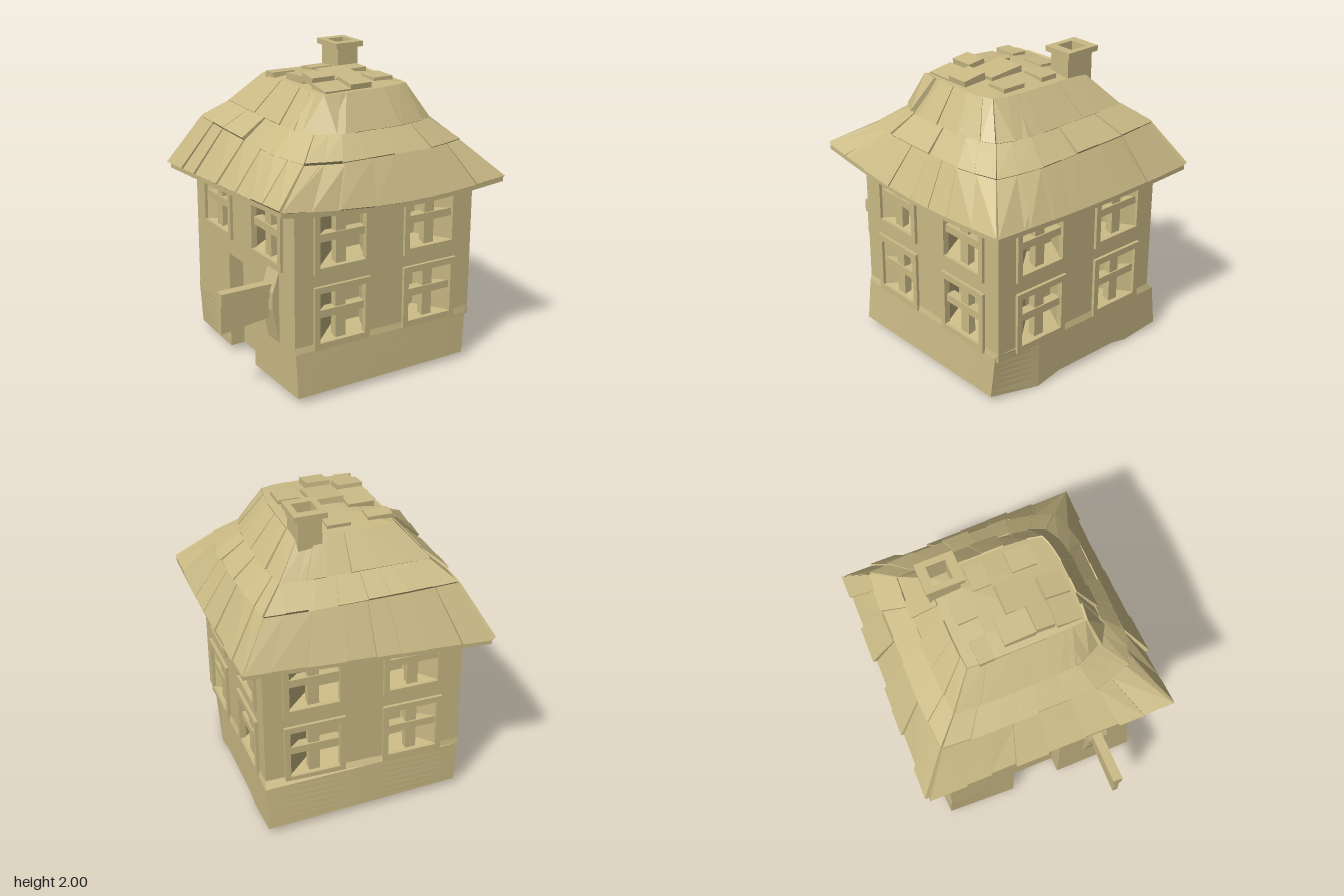
import * as THREE from 'three';
import { ConvexGeometry } from 'three/addons/geometries/ConvexGeometry.js';

const mat = new THREE.MeshStandardMaterial({ color: 0xcbbb86, flatShading: true });
const V = (x, y, z) => new THREE.Vector3(x, y, z);
const poly = (T, pts) => new T(pts.map(p => new THREE.Vector2(...p)));
const rect = (T, x0, x1, y0, y1) => poly(T, [[x0, y0], [x1, y0], [x1, y1], [x0, y1]]);
const extrude = (shape, depth, steps = 1) => new THREE.ExtrudeGeometry(shape, { depth, steps, bevelEnabled: false });

let seed = 11;
const rnd = () => (seed = (seed * 16807) % 2147483647) / 2147483647;

function group(name) {
  const g = new THREE.Group();
  g.name = name;
  return g;
}

function add(parent, name, geo) {
  const m = new THREE.Mesh(geo, mat);
  m.name = name;
  parent.add(m);
  return m;
}

// box given by its lower and upper limits
function box(parent, name, x0, x1, y0, y1, z0, z1) {
  const m = add(parent, name, new THREE.BoxGeometry(x1 - x0, y1 - y0, z1 - z0));
  m.position.set((x0 + x1) / 2, (y0 + y1) / 2, (z0 + z1) / 2);
  return m;
}

// Each wall: turn about y, distance out, extent along the wall, window centres and rows, lower notch
const LOW = 0.525, HIGH = 1.015, OPEN = 0.163, THICK = 0.15;
const walls = [
  { name: 'frontWall', rot: 0, d: 0.65, u: [-0.55, 0.755], win: [-0.22, 0.43], rows: [LOW, HIGH], notch: [] },
  { name: 'rightWall', rot: Math.PI / 2, d: 0.755, u: [-0.65, 0.655], win: [-0.315, 0.335], rows: [LOW, HIGH], notch: [] },
  { name: 'backWall', rot: Math.PI, d: 0.655, u: [-0.755, 0.55], win: [-0.43, 0.22], rows: [LOW, HIGH], notch: [] },
  { name: 'leftWall', rot: -Math.PI / 2, d: 0.55, u: [-0.655, 0.65], win: [-0.335, 0.315], rows: [HIGH],
    notch: [[-0.2, 0.3], [-0.2, 0.7], [0.14, 0.7], [0.14, 0.3]] },
];

function makeWall(w) {
  const g = group(w.name);
  g.rotation.y = w.rot;
  const [a, b] = w.u, mid = (a + b) / 2;
  const shape = poly(THREE.Shape, [[a, 0.3], ...w.notch, [b, 0.3], [b, 1.25], [a, 1.25]]);
  for (const c of w.win) for (const y of w.rows)
    shape.holes.push(rect(THREE.Path, c - OPEN, c + OPEN, y - OPEN, y + OPEN));
  const geo = extrude(shape, THICK);
  const p = geo.attributes.position;
  // splay the window recesses towards the middle of the wall
  for (let i = 0; i < p.count; i++) {
    const y = p.getY(i);
    if (p.getZ(i) > 0.01 || y < w.rows[0] - 0.2 || y > 1.2) continue;
    const row = y > 0.77 ? HIGH : LOW;
    p.setXY(i, mid + (p.getX(i) - mid) * 0.62, row + (y - row) * 0.8);
  }
  geo.computeVertexNormals();
  add(g, 'wallPanel', geo).position.z = w.d - THICK;

  // window frames and glazing bars
  for (const c of w.win) for (const y of w.rows) {
    const f = rect(THREE.Shape, c - 0.2, c + 0.2, y - 0.205, y + 0.205);
    f.holes.push(rect(THREE.Path, c - OPEN, c + OPEN, y - OPEN, y + OPEN));
    add(g, 'windowFrame', extrude(f, 0.04)).position.z = w.d - 0.02;
    const z = w.d - 0.06;
    box(g, 'uprightBar', c - 0.036, c + 0.036, y - 0.17, y + 0.17, z, z + 0.05);
    box(g, 'crossBar', c - 0.17, c + 0.17, y - 0.005, y + 0.045, z - 0.005, z + 0.06);
  }
  return g;
}

// Flared foot of the house: plan outline with the doorway cut in, raised in steps
function makeFoot(parent) {
  const plan = [[-0.55, 0.65], [0, 0.65], [0.45, 0.65], [0.755, 0.65], [0.755, 0.33], [0.755, 0.15], [0.755, -0.33],
    [0.755, -0.45], [0.755, -0.655], [0.1, -0.655], [-0.55, -0.655], [-0.55, -0.2], [-0.44, -0.2], [-0.44, 0.14], [-0.55, 0.14]];
  const geo = extrude(poly(THREE.Shape, plan.map(([x, z]) => [x, -z])), 0.32, 8);
  geo.rotateX(-Math.PI / 2).translate(0, 0.04, 0);
  const p = geo.attributes.position;
  for (let i = 0; i < p.count; i++) {
    const x = p.getX(i), y = p.getY(i), z = p.getZ(i);
    if (y > 0.34) continue;
    const drop = (0.32 - y) / 0.28;
    const east = (x + 0.55) / 1.305;
    // the back swells towards the right, the front towards the left, and the front right corner draws in
    if (z > 0.6) p.setZ(i, z + (0.012 + 0.028 * drop) * (1 - 0.5 * east));
    if (z < -0.6) p.setZ(i, z - (0.04 + 0.035 * drop) * (0.15 + 0.85 * east));
    if (x > 0.7) p.setX(i, x + (z > 0.6 ? -0.025 - 0.025 * drop : 0.012));
    if (x < -0.5 && z < -0.6) p.setX(i, x + 0.02 * drop);
    if (y < 0.05 && x > 0.7) {
      if (Math.abs(z - 0.33) < 0.01) p.setY(i, 0);
      if (Math.abs(z + 0.45) < 0.01) p.setY(i, 0.015);
    }
  }
  geo.computeVertexNormals();
  add(parent, 'foot', geo);
}

// Roof rings: corners front left, front right, back right, back left, as seen from the front
const ring = (yf, yb, x0, x1, z0, z1) => [V(x0, yf, z1), V(x1, yf, z1), V(x1, yb, z0), V(x0, yb, z0)];
const rings = [
  [V(-0.72, 1.3, 0.8), V(0.9, 1.25, 0.775), V(0.9, 1.24, -0.775), V(-0.665, 1.17, -0.815)],
  ring(1.48, 1.51, -0.51, 0.74, -0.655, 0.66),
  ring(1.615, 1.63, -0.37, 0.59, -0.51, 0.54),
  ring(1.835, 1.825, -0.21, 0.43, -0.36, 0.42),
];
const sag = [0.06, 0.02, 0, 0];
// how far each corner of a ring is cut back, making the front hips blunt and the rear ones sharp
const cut = [[0, 0, 0, 0], [0.11, 0.1, 0.03, 0.02], [0.16, 0.14, 0.02, 0.01], [0.04, 0.09, 0.05, 0.03]];

function roofPoint(r, side, t) {
  const next = (side + 1) % 4;
  const p = rings[r][side].clone().lerp(rings[r][next], t);
  if (r === 0) p.y -= sag[side] * Math.sin(Math.PI * t);
  const k = 1 - cut[r][t < 0.5 ? side : next] * Math.max(0, 1 - Math.min(t, 1 - t) / 0.24);
  return p.set(0.1 + (p.x - 0.1) * k, p.y, p.z * k);
}

function makeRoof() {
  const g = group('roof');
  const N = 8, M = 4 * N;
  const loop = (r, f) => Array.from({ length: M }, (_, j) => f(roofPoint(r, Math.floor(j / N), (j % N) / N)));
  const same = p => p;
  const loops = [
    loop(0, p => V(0.1 + (p.x - 0.1) * 0.76, 1.2, p.z * 0.77)),
    loop(0, p => V(p.x, p.y - 0.03, p.z)),
    loop(0, same), loop(1, same), loop(2, same), loop(3, same),
    loop(3, p => V(0.1 + (p.x - 0.1) * 0.5, 1.85, p.z * 0.5)),
    loop(3, () => V(0.1, 1.86, 0)),
  ];
  const idx = [];
  for (let r = 0; r < loops.length - 1; r++) for (let j = 0; j < M; j++) {
    const k = (j + 1) % M, a = r * M + j, b = r * M + k, c = b + M, d = a + M;
    idx.push(a, b, c, a, c, d);
  }
  const geo = new THREE.BufferGeometry().setFromPoints(loops.flat());
  geo.setIndex(idx);
  geo.computeVertexNormals();
  add(g, 'roofShell', geo);

  // irregular shingles, each a tapering slab thicker at its lower edge
  [8, 8, 6].forEach((n, r) => {
    for (let s = 0; s < 4; s++) for (let i = 0; i < n; i++) {
      const wob = k => (k === 0 || k === n ? k / n : (k + 0.2 * Math.sin(k * 5 + s * 3 + r)) / n);
      const th = 0.004 + 0.026 * rnd();
      if (rnd() < 0.2) continue;
      const t0 = wob(i), t1 = wob(i + 1);
      const q = [roofPoint(r, s, t0), roofPoint(r, s, t1), roofPoint(r + 1, s, t1), roofPoint(r + 1, s, t0)];
      const nrm = q[1].clone().sub(q[0]).cross(q[3].clone().sub(q[0])).normalize();
      const out = q.map((p, k) => p.clone().addScaledVector(nrm, k < 2 ? th : th * 0.5));
      const inn = q.map(p => p.clone().addScaledVector(nrm, -0.015));
      add(g, 'shingle', new ConvexGeometry([...out, ...inn]));
    }
  });

  // loose slabs on the flat crown: x0, x1, z0, z1, top, tilt
  for (const [x0, x1, z0, z1, top, tilt] of [
    [-0.17, -0.01, 0.1, 0.22, 1.905, 0.12], [0, 0.15, 0.23, 0.39, 1.885, 0.15], [0.24, 0.38, 0.12, 0.28, 1.865, 0],
    [-0.22, -0.06, -0.28, -0.18, 1.86, -0.05], [0.22, 0.38, -0.14, -0.02, 1.865, 0], [0.0, 0.2, -0.02, 0.22, 1.885, 0.1],
    [-0.17, 0, -0.1, 0.1, 1.88, -0.08], [0.06, 0.21, -0.3, -0.17, 1.86, -0.08], [-0.18, 0, 0.23, 0.39, 1.86, 0.15],
  ]) box(g, 'crownSlab', x0, x1, top - 0.05, top, z0, z1).rotation.x = tilt;
  return g;
}

// hollow square tube standing upright
function tube(parent, name, w, d, inner, y0, h) {
  const s = rect(THREE.Shape, -w, w, -d, d);
  s.holes.push(rect(THREE.Path, -inner, inner, -inner, inner));
  add(parent, name, extrude(s, h).rotateX(-Math.PI / 2)).position.set(0.35, y0, -0.295);
}

export function createModel() {
  const house = group('house');
  for (const w of walls) house.add(makeWall(w));
  makeFoot(house);

  // closed core behind the windows
  box(house, 'innerCore', -0.405, 0.61, 0.2, 1.22, -0.51, 0.505);
  house.add(makeRoof());

  const chimney = group('chimney');
  tube(chimney, 'chimneyShaft', 0.075, 0.1, 0.062, 1.66, 0.31);
  tube(chimney, 'chimneyCap', 0.103, 0.122, 0.062, 1.965, 0.035);
  house.add(chimney);

  // door set back in its opening
  const door = group('door');
  box(door, 'doorLeaf', -0.45, -0.4, 0.04, 0.7, -0.2, 0.14);
  box(door, 'doorHandle', -0.49, -0.45, 0.33, 0.37, -0.13, -0.09);
  house.add(door);

  // hanging sign beside the door
  const sign = group('sign');
  box(sign, 'signBeam', -0.92, -0.55, 0.62, 0.71, 0.355, 0.42);
  const board = [[-0.92, 0.445], [-0.59, 0.485], [-0.59, 0.63], [-0.92, 0.63]];
  add(sign, 'signBoard', extrude(poly(THREE.Shape, board), 0.035)).position.z = 0.37;
  add(sign, 'signMount', new ConvexGeometry([0.32, 0.46].flatMap(z =>
    [V(-0.53, 0.22, z), V(-0.595, 0.55, z), V(-0.595, 0.66, z), V(-0.53, 0.85, z)])));
  house.add(sign);
  return house;
}
